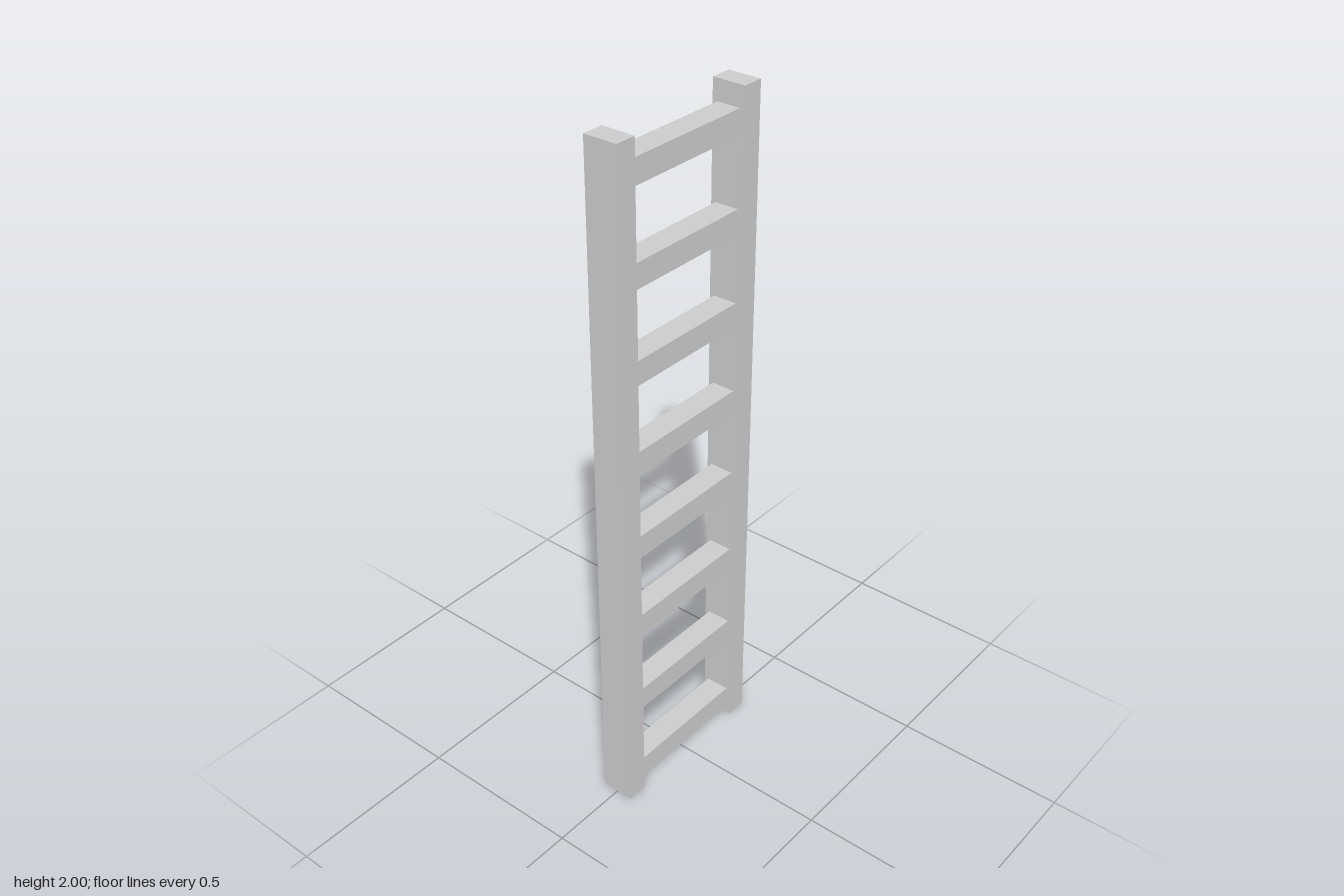
import * as THREE from 'three';

export function createModel() {
  const group = new THREE.Group();
  const material = new THREE.MeshStandardMaterial({ color: 0xcccccc, flatShading: true });

  const height = 2;
  const railWidth = 0.098, railDepth = 0.062, railZ = 0.232;
  const rungSize = 0.07, rungCount = 8, firstRungY = 0.06, lastRungY = 1.906;

  function addBox(name, w, h, d, y, z) {
    const mesh = new THREE.Mesh(new THREE.BoxGeometry(w, h, d), material);
    mesh.name = name;
    mesh.position.set(0, y, z);
    group.add(mesh);
  }

  // Two upright side rails
  addBox('frontRail', railWidth, height, railDepth, height / 2, railZ);
  addBox('backRail', railWidth, height, railDepth, height / 2, -railZ);

  // Evenly spaced rungs fitted between the inner faces of the rails
  const rungLength = 2 * railZ - railDepth;
  for (let i = 0; i < rungCount; i++) {
    const y = THREE.MathUtils.lerp(firstRungY, lastRungY, i / (rungCount - 1));
    addBox(`rung${i + 1}`, rungSize, rungSize, rungLength, y, 0);
  }

  return group;
}
